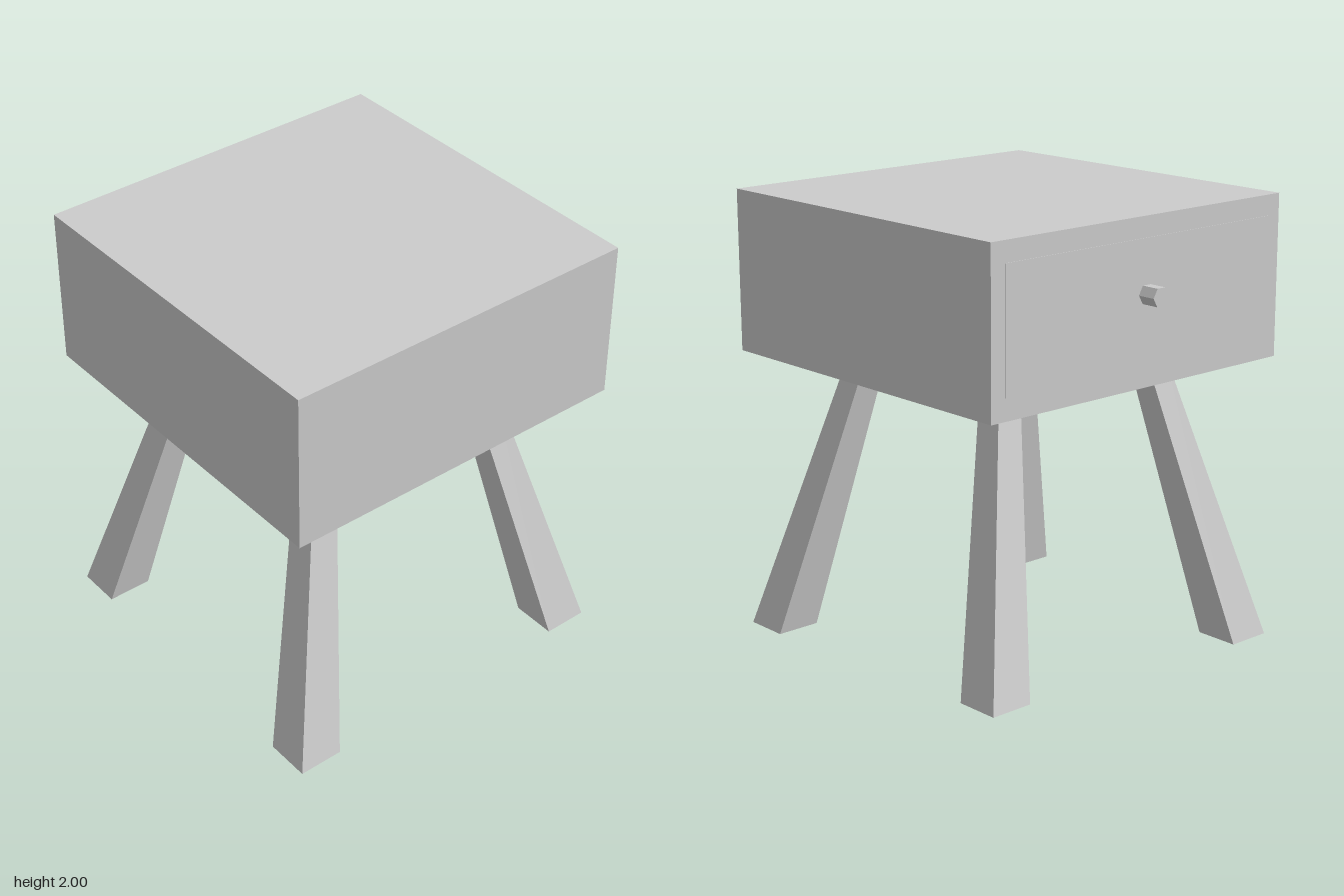
import * as THREE from 'three';

const material = new THREE.MeshStandardMaterial({ color: 0xcccccc, flatShading: true });

function add(group, name, geometry, x = 0, y = 0, z = 0) {
  const mesh = new THREE.Mesh(geometry, material);
  mesh.name = name;
  mesh.position.set(x, y, z);
  group.add(mesh);
}

// Splayed, tapered square leg: foot and top are [centre x, centre z, y, width]
function legGeometry(foot, top) {
  const geometry = new THREE.BoxGeometry(1, 1, 1);
  const p = geometry.attributes.position;
  for (let i = 0; i < p.count; i++) {
    const [cx, cz, y, w] = p.getY(i) > 0 ? top : foot;
    p.setXYZ(i, cx + p.getX(i) * w, y, cz + p.getZ(i) * w);
  }
  geometry.computeVertexNormals();
  return geometry;
}

export function createModel() {
  const group = new THREE.Group();
  group.name = 'sideTable';

  // Cabinet body
  add(group, 'cabinet', new THREE.BoxGeometry(1.64, 0.715, 1.645), 0.04, 1.6425, 0);

  // Drawer front, barely proud of the body, and its six-sided knob
  add(group, 'drawerFront', new THREE.BoxGeometry(0.02, 0.53, 1.5), -0.773, 1.645, 0);
  const knob = new THREE.CylinderGeometry(0.044, 0.044, 0.085, 6).rotateZ(Math.PI / 2);
  add(group, 'drawerKnob', knob, -0.8225, 1.678, 0.02);

  // Legs, each set slightly differently
  const legs = [
    ['frontRightLeg', [-0.68, 0.715, 0, 0.205], [-0.392, 0.428, 1.287, 0.118]],
    ['frontLeftLeg', [0.738, 0.703, 0, 0.205], [0.455, 0.419, 1.287, 0.118]],
    ['backLeftLeg', [0.757, -0.713, 0.01, 0.205], [0.465, -0.428, 1.287, 0.12]],
    ['backRightLeg', [-0.68, -0.715, 0.068, 0.2], [-0.402, -0.437, 1.287, 0.118]],
  ];
  for (const [name, foot, top] of legs) add(group, name, legGeometry(foot, top));

  return group;
}
